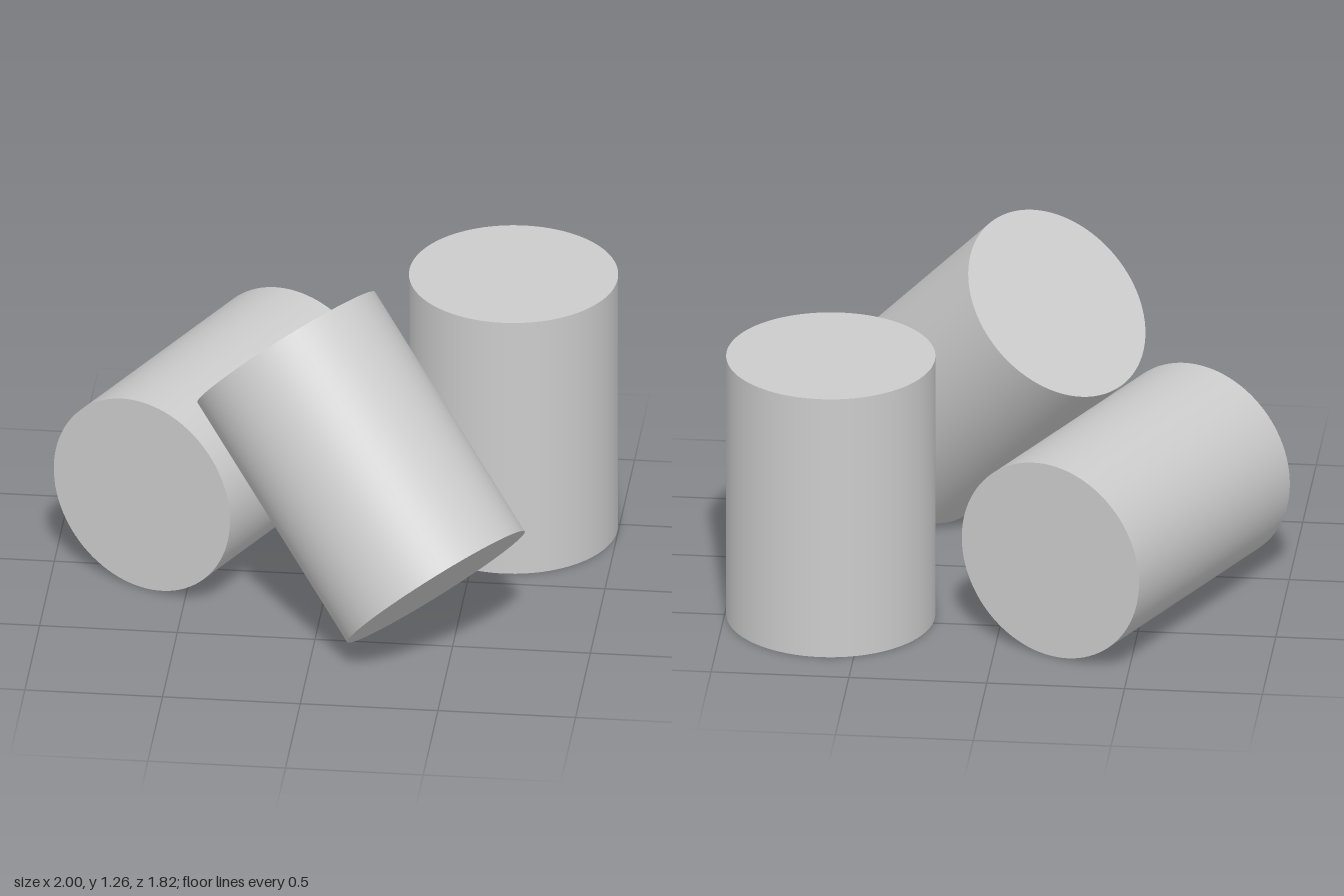
import * as THREE from 'three';

const RADIUS = 0.378;

export function createModel() {
  const group = new THREE.Group();
  const material = new THREE.MeshStandardMaterial({ color: 0xcccccc });
  const up = new THREE.Vector3(0, 1, 0);

  // Solid cylinder whose end caps are centred on two points
  function addCylinder(name, start, end) {
    const a = new THREE.Vector3(...start);
    const b = new THREE.Vector3(...end);
    const axis = b.clone().sub(a);
    const mesh = new THREE.Mesh(
      new THREE.CylinderGeometry(RADIUS, RADIUS, axis.length(), 96),
      material
    );
    mesh.name = name;
    mesh.position.copy(a).add(b).multiplyScalar(0.5);
    mesh.quaternion.setFromUnitVectors(up, axis.normalize());
    group.add(mesh);
  }

  // Standing on its end at the back left
  addCylinder('uprightCylinder', [0.619, 0, -0.456], [0.619, 1.024, -0.456]);
  // Lying on its side, running front to back
  addCylinder('lyingCylinder', [-0.664, 0.38, 0.17], [-0.206, 0.38, -0.745]);
  // Tilted across the lying one, its lower rim on the ground
  addCylinder('leaningCylinder', [0.446, 0.273, 0.563], [-0.143, 0.996, 0.139]);

  return group;
}
